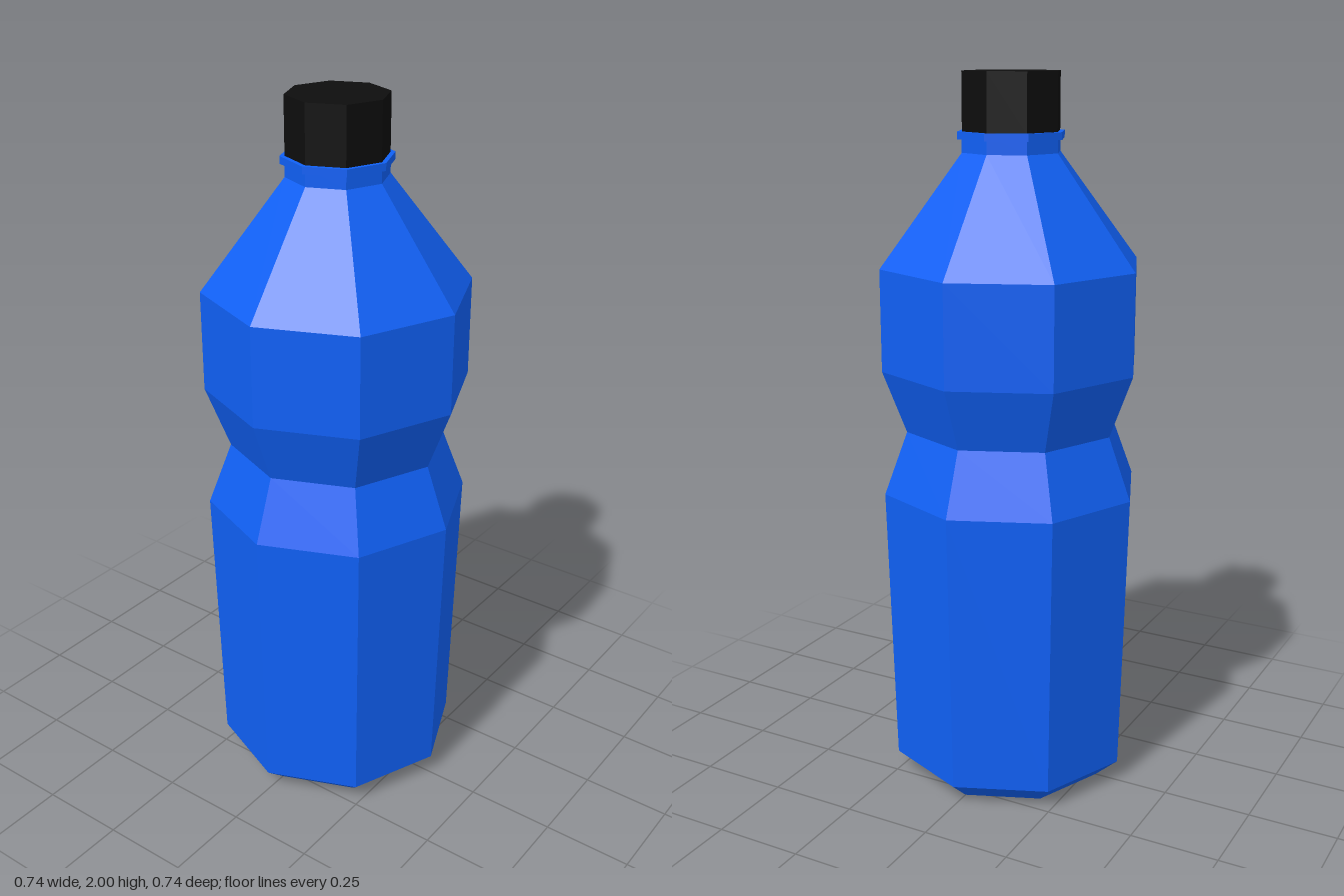
import * as THREE from 'three';

const SIDES = 8;

// Eight-sided faceted solid turned from [radius, height] points, bottom to top
function turned(name, profile, material) {
  const points = profile.map(([r, y]) => new THREE.Vector2(r, y));
  const geometry = new THREE.LatheGeometry(points, SIDES).toNonIndexed();
  geometry.computeVertexNormals();
  const mesh = new THREE.Mesh(geometry, material);
  mesh.name = name;
  return mesh;
}

export function createModel() {
  const plastic = new THREE.MeshStandardMaterial({ color: 0x1060f5, flatShading: true });
  const black = new THREE.MeshStandardMaterial({ color: 0x0d0d0d, flatShading: true });

  const bottle = new THREE.Group();
  bottle.name = 'bottle';

  // Body: bevelled foot, tapered base, pinched waist, sloping shoulder, neck
  bottle.add(turned('body', [
    [0, 0], [0.28, 0], [0.348, 0.06], [0.368, 0.86], [0.302, 1.035],
    [0.368, 1.21], [0.368, 1.49], [0.138, 1.79], [0.138, 1.84], [0, 1.84],
  ], plastic));

  // Thin ring under the cap
  bottle.add(turned('neckRing', [
    [0.13, 1.825], [0.15, 1.825], [0.15, 1.845], [0.13, 1.845],
  ], plastic));

  // Screw cap
  bottle.add(turned('cap', [
    [0, 1.842], [0.137, 1.842], [0.137, 2], [0, 2],
  ], black));

  return bottle;
}
